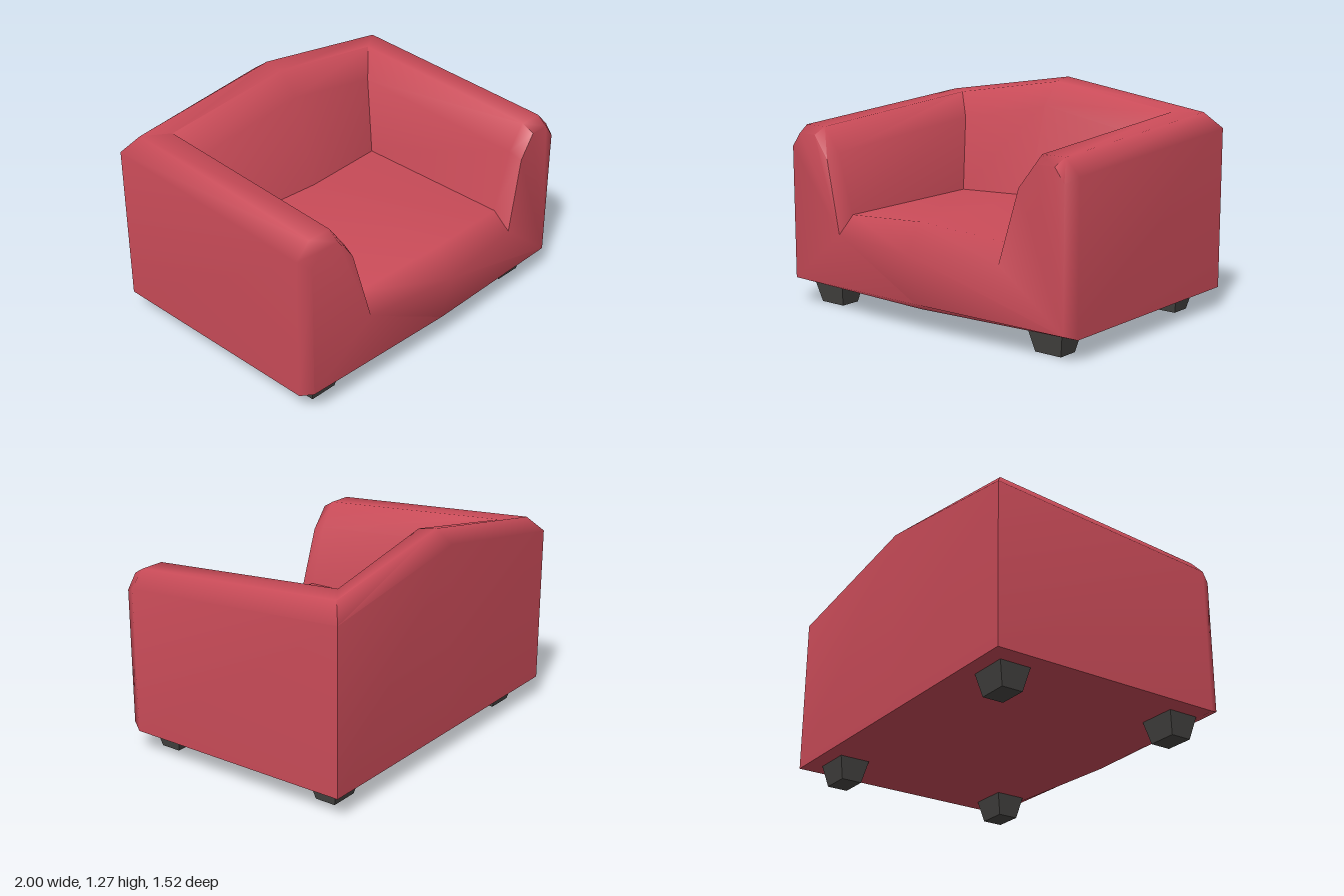
import * as THREE from 'three';

// Cross-sections of the left half: outer bottom, outer top, crown outer, crown inner, inner shoulder, seat edge
const armFace = [[0.96, 0.15, 0.67], [0.96, 0.92, 0.67], [0.9, 1, 0.67], [0.78, 1, 0.67], [0.68, 0.87, 0.675], [0.57, 0.46, 0.7]];
const armFront = [[1, 0.125, 0.6], [1, 0.95, 0.6], [0.915, 1.04, 0.6], [0.77, 1.04, 0.6], [0.665, 0.9, 0.6], [0.56, 0.56, 0.6]];
const corner = [[1, 0.125, -0.76], [1, 1.04, -0.76], [0.915, 1.13, -0.69], [0.77, 1.13, -0.59], [0.65, 0.99, -0.48], [0.585, 0.56, -0.38]];
const backMid = [[0, 0.125, -0.76], [0, 1.2, -0.76], [0, 1.27, -0.66], [0, 1.25, -0.55], [0, 1.12, -0.43], [0, 0.605, -0.29]];
// Centre line of the seat front: seat edge, roll, skirt, bottom
const seatMid = [0, 0.605, 0.66], rollMid = [0, 0.44, 0.76], skirtMid = [0, 0.16, 0.705], bottomMid = [0, 0.125, 0.66];

const CREASE = Math.cos(THREE.MathUtils.degToRad(62));

// Area-weighted smooth normals that stay sharp across creases; one geometry per part
function smoothParts(triangles) {
  const around = new Map();
  const key = (p) => p.toArray().map((v) => Math.round(v * 1e4) || 0).join();
  for (const t of triangles) {
    t.area = new THREE.Vector3().crossVectors(
      t.points[1].clone().sub(t.points[0]), t.points[2].clone().sub(t.points[0]));
    t.normal = t.area.clone().normalize();
    for (const p of t.points) {
      const k = key(p);
      if (!around.has(k)) around.set(k, []);
      around.get(k).push(t);
    }
  }
  const parts = {};
  for (const t of triangles) {
    const part = (parts[t.part] ??= { position: [], normal: [] });
    for (const p of t.points) {
      const n = new THREE.Vector3();
      for (const o of around.get(key(p))) if (o.normal.dot(t.normal) > CREASE) n.add(o.area);
      part.position.push(...p.toArray());
      part.normal.push(...n.normalize().toArray());
    }
  }
  return Object.entries(parts).map(([name, data]) => {
    const geometry = new THREE.BufferGeometry();
    for (const a of ['position', 'normal']) geometry.setAttribute(a, new THREE.Float32BufferAttribute(data[a], 3));
    return [name, geometry];
  });
}

export function createModel() {
  const model = new THREE.Group();
  model.name = 'armchair';
  const fabric = new THREE.MeshStandardMaterial({ color: 0xc94b58 });
  fabric.name = 'red fabric';
  const dark = new THREE.MeshStandardMaterial({ color: 0x484644 });
  dark.name = 'dark leg';

  const upholstery = [], base = [];
  // Adds a polygon and its mirror image as triangle fans
  const face = (list, part, ...corners) => {
    for (const side of [1, -1]) {
      const pts = corners.map(([x, y, z]) => new THREE.Vector3(x * side, y, z));
      if (side < 0) pts.reverse();
      const name = part.replace('arm', side > 0 ? 'leftArm' : 'rightArm');
      for (let i = 1; i < pts.length - 1; i++) list.push({ part: name, points: [pts[0], pts[i], pts[i + 1]] });
    }
  };
  const loft = (part, a, b) => {
    for (let i = 0; i < a.length - 1; i++) face(upholstery, part, a[i], b[i], b[i + 1], a[i + 1]);
  };

  // Arms and backrest
  loft('arm', armFace, armFront);
  loft('arm', armFront, corner);
  loft('backrest', corner, backMid);
  face(upholstery, 'arm', ...armFace);

  // Seat, rounded front edge and front skirt
  face(upholstery, 'seat', armFront[5], corner[5], backMid[5], seatMid);
  face(upholstery, 'seat', armFace[5], armFront[5], seatMid, rollMid);
  face(upholstery, 'frontSkirt', armFace[0], armFace[5], rollMid, skirtMid);
  face(upholstery, 'frontSkirt', armFront[0], armFace[0], skirtMid, bottomMid);

  // Underside
  face(base, 'underside', armFront[0], bottomMid, backMid[0], corner[0]);

  for (const [name, geometry] of [...smoothParts(upholstery), ...smoothParts(base)]) {
    const mesh = new THREE.Mesh(geometry, fabric);
    mesh.name = name;
    model.add(mesh);
  }

  // Tapered legs
  const legGeometry = new THREE.BoxGeometry(0.22, 0.125, 0.18);
  const pos = legGeometry.attributes.position;
  for (let i = 0; i < pos.count; i++) {
    if (pos.getY(i) < 0) pos.setXYZ(i, pos.getX(i) * 0.75, pos.getY(i), pos.getZ(i) * 0.67);
  }
  legGeometry.computeVertexNormals();
  for (const [end, z] of [['front', 0.497], ['back', -0.58]]) {
    for (const side of [1, -1]) {
      const leg = new THREE.Mesh(legGeometry, dark);
      leg.name = end + (side > 0 ? 'Left' : 'Right') + 'Leg';
      leg.position.set(side * 0.782, 0.0625, z);
      model.add(leg);
    }
  }
  return model;
}
